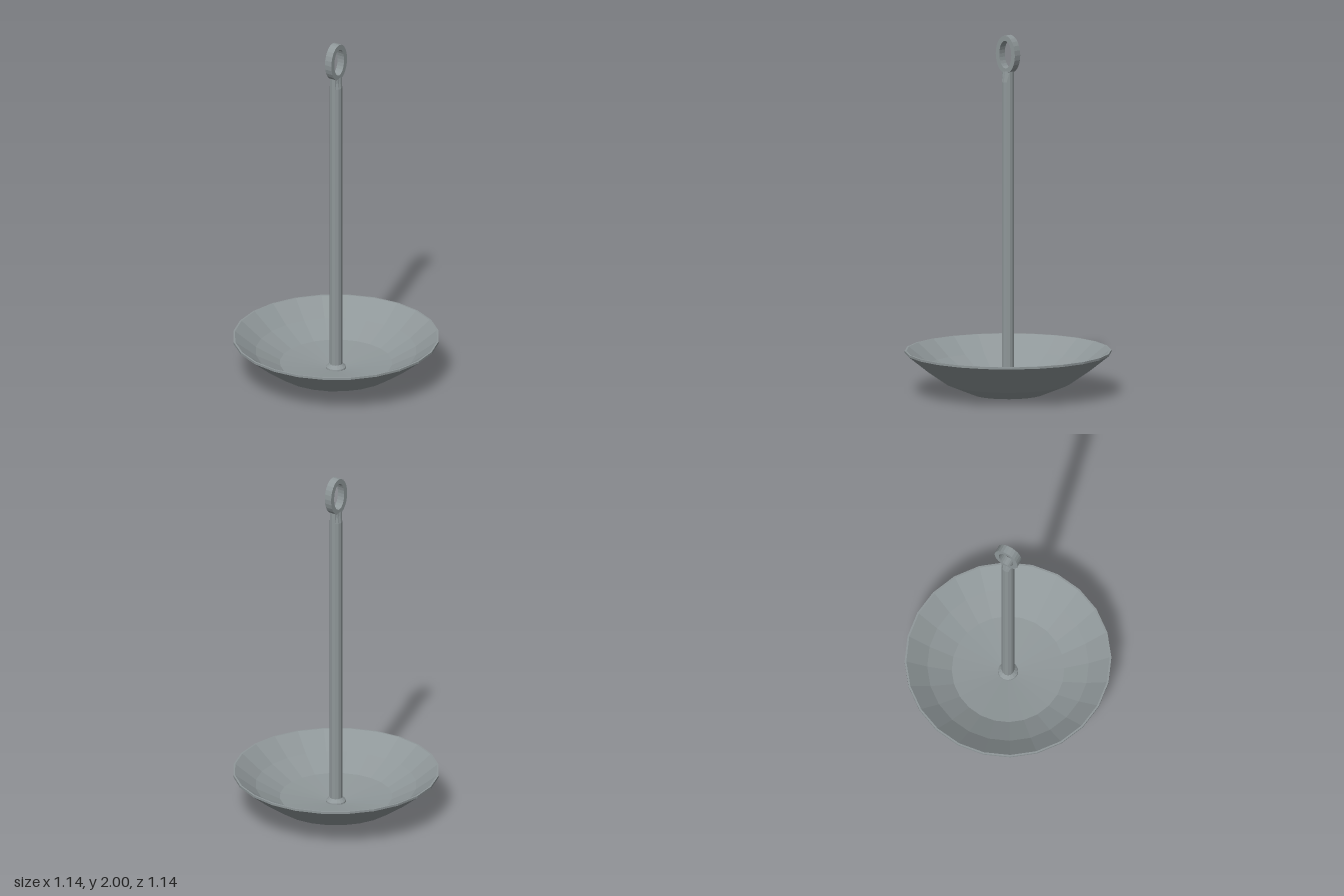
import * as THREE from 'three';

export function createModel() {
  const model = new THREE.Group();
  const greyMetal = new THREE.MeshStandardMaterial({ color: 0x8f9799, flatShading: true });
  greyMetal.name = 'grey metal';

  const add = (name, geometry, y = 0) => {
    const mesh = new THREE.Mesh(geometry, greyMetal);
    mesh.name = name;
    mesh.position.y = y;
    model.add(mesh);
    return mesh;
  };
  const lathe = (points, sides) =>
    new THREE.LatheGeometry(points.map(([r, y]) => new THREE.Vector2(r, y)), sides);

  // Shallow dish: outside from the foot to the rim, then back down the inside
  add('dish', lathe([
    [0, 0], [0.2, 0], [0.345, 0.06], [0.46, 0.14], [0.57, 0.228], [0.57, 0.24],
    [0.56, 0.24], [0.445, 0.152], [0.31, 0.082], [0, 0.045],
  ], 24));

  // Flared collar where the rod meets the dish
  add('collar', lathe([[0.057, 0.045], [0.055, 0.06], [0.034, 0.078]], 16));

  // Upright rod
  const rodBottom = 0.04, rodTop = 1.74, rodRadius = 0.035;
  add('rod', new THREE.CylinderGeometry(rodRadius, rodRadius, rodTop - rodBottom, 12),
    (rodBottom + rodTop) / 2);

  // Neck: round at the rod, flattened front to back at the ring
  const neckHeight = 0.065;
  const neck = new THREE.CylinderGeometry(rodRadius, rodRadius, neckHeight, 12);
  const p = neck.attributes.position;
  for (let i = 0; i < p.count; i++) {
    if (p.getY(i) > 0) p.setZ(i, THREE.MathUtils.clamp(p.getZ(i), -0.021, 0.021));
  }
  add('neck', neck, rodTop + neckHeight / 2);

  // Oval hanging ring with a flat section
  const depth = 0.044;
  const oval = new THREE.Shape();
  oval.absellipse(0, 0, 0.072, 0.106, 0, Math.PI * 2);
  const hole = new THREE.Path();
  hole.absellipse(0, 0, 0.045, 0.077, 0, Math.PI * 2, true);
  oval.holes.push(hole);
  const ring = new THREE.ExtrudeGeometry(oval, { depth, bevelEnabled: false, curveSegments: 12 });
  ring.translate(0, 0, -depth / 2);
  add('hangingRing', ring, 1.894);

  return model;
}
